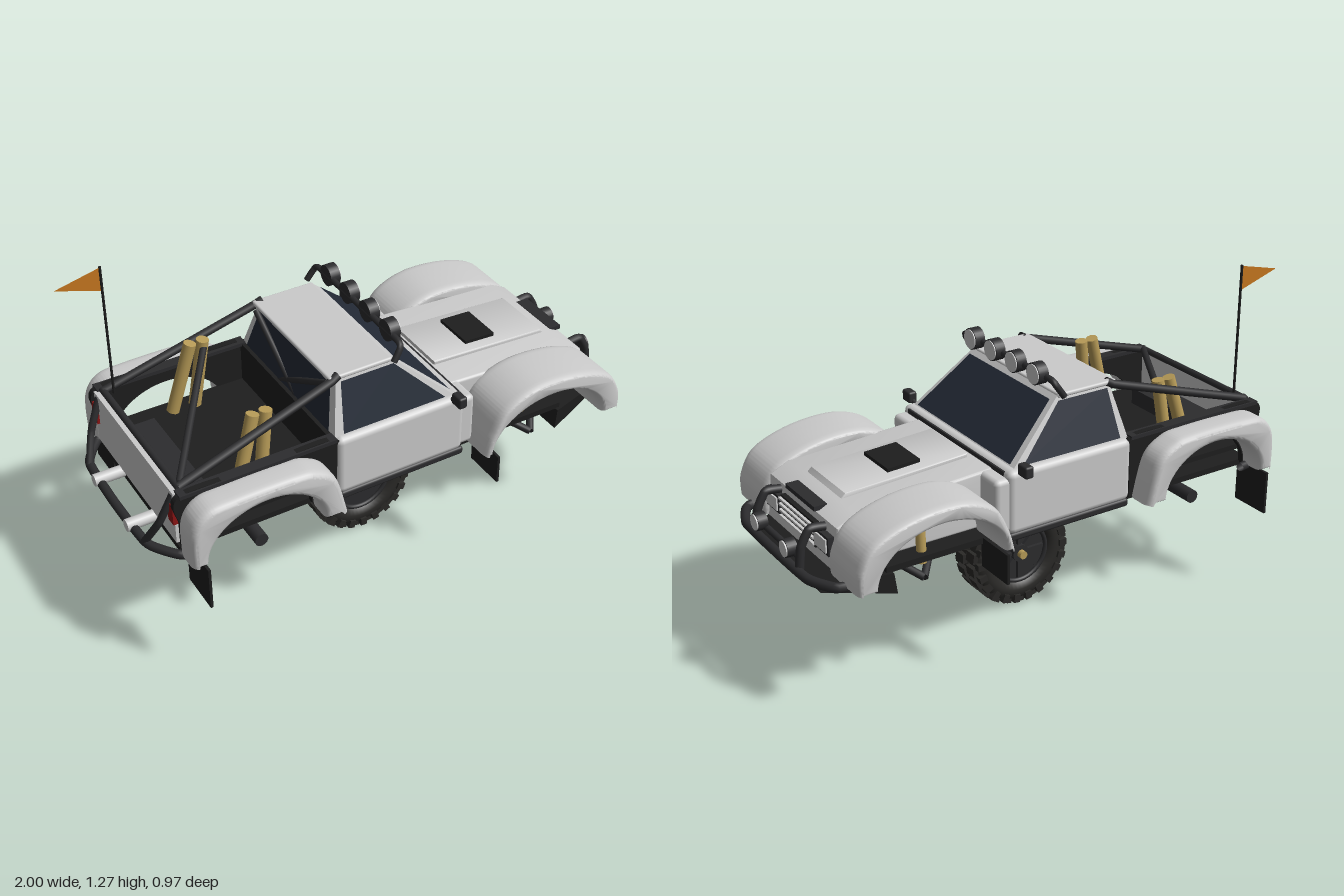
import * as THREE from 'three';
import { toCreasedNormals } from 'three/addons/utils/BufferGeometryUtils.js';
import { RoundedBoxGeometry } from 'three/addons/geometries/RoundedBoxGeometry.js';

const mat = (color, side = THREE.FrontSide) => new THREE.MeshStandardMaterial({ color, side });
const V = (x, y, z) => new THREE.Vector3(x, y, z);

export function createModel() {
  const model = new THREE.Group();
  const paint = mat(0xcccccc), dark = mat(0x2c2c2e), black = mat(0x1e1e1e), rubber = mat(0x2a2927),
    glass = mat(0x232a36, THREE.DoubleSide), gold = mat(0xb89c58), red = mat(0x8c1515),
    orange = mat(0xc87820, THREE.DoubleSide), trim = mat(0x2c2c2e, THREE.DoubleSide);

  const add = (name, geo, m, parent = model) => {
    const mesh = new THREE.Mesh(geo, m);
    mesh.name = name;
    parent.add(mesh);
    return mesh;
  };
  // box from minimum and maximum corners
  const box = (name, x0, x1, y0, y1, z0, z1, m, r = 0) => {
    const s = [x1 - x0, y1 - y0, z1 - z0];
    const geo = r ? new RoundedBoxGeometry(...s, 2, r) : new THREE.BoxGeometry(...s);
    return add(name, geo.translate((x0 + x1) / 2, (y0 + y1) / 2, (z0 + z1) / 2), m);
  };
  // straight capped rod between two points
  const rod = (name, a, b, r, m, sides = 14) => {
    const d = b.clone().sub(a);
    const mesh = add(name, new THREE.CylinderGeometry(r, r, d.length(), sides), m);
    mesh.position.copy(a).lerp(b, 0.5);
    mesh.quaternion.setFromUnitVectors(V(0, 1, 0), d.normalize());
    return mesh;
  };
  // bent tube
  const tube = (name, pts, r, m = trim) => add(name, new THREE.TubeGeometry(
    new THREE.CatmullRomCurve3(pts.map(p => V(...p)), false, 'catmullrom', 0.25), pts.length * 8, r, 10), m);
  // side profile extruded across z
  const prism = (name, shape, z0, z1, m, bevel = 0, depth = bevel) => {
    if (Array.isArray(shape)) shape = new THREE.Shape(shape.map(p => new THREE.Vector2(...p)));
    const geo = new THREE.ExtrudeGeometry(shape, {
      depth: z1 - z0 - 2 * depth, bevelEnabled: bevel > 0, bevelSize: bevel, bevelThickness: depth,
      bevelOffset: -bevel, bevelSegments: 4, curveSegments: 24 }).translate(0, 0, z0 + depth);
    return add(name, toCreasedNormals(geo, 0.6), m);
  };

  // fenders: curved outside with an elliptical wheel arch
  const fenderShape = (outer, cx, rx) => {
    const s = new THREE.Shape().moveTo(...outer[0]);
    s.splineThru(outer.slice(1).map(p => new THREE.Vector2(...p)));
    s.lineTo(cx + rx, 0.495);
    s.absellipse(cx, 0.495, rx, 0.178, 0, Math.PI, false);
    return s;
  };
  const frontFender = fenderShape([[0.285, 0.495], [0.31, 0.58], [0.37, 0.68], [0.5, 0.733], [0.68, 0.725],
    [0.83, 0.67], [0.89, 0.58], [0.895, 0.495]], 0.57, 0.25);
  const rearFender = fenderShape([[-0.89, 0.495], [-0.885, 0.64], [-0.83, 0.715], [-0.72, 0.73], [-0.5, 0.73],
    [-0.41, 0.715], [-0.335, 0.655], [-0.29, 0.495]], -0.605, 0.225);
  const bedWall = fenderShape([[-0.88, 0.495], [-0.88, 0.6], [-0.88, 0.735], [-0.58, 0.735], [-0.28, 0.735],
    [-0.28, 0.6], [-0.28, 0.495]], -0.605, 0.225);

  // hood, raised panel and scoop
  prism('hood', [[0.22, 0.495], [0.22, 0.715], [0.79, 0.685], [0.86, 0.65], [0.88, 0.495]], -0.26, 0.26, paint, 0.012);
  prism('hoodPanel', [[0.27, 0.69], [0.27, 0.728], [0.76, 0.702], [0.79, 0.67]], -0.13, 0.13, paint, 0.008);
  prism('hoodVent', [[0.44, 0.7], [0.44, 0.732], [0.57, 0.726], [0.57, 0.69]], -0.085, 0.085, black);
  box('cowl', 0.2, 0.3, 0.5, 0.71, -0.36, 0.36, paint, 0.02);
  box('cowlStrip', 0.2, 0.25, 0.7, 0.728, -0.33, 0.33, dark);

  // cab: lower doors and tapered greenhouse
  box('cabBase', -0.28, 0.25, 0.49, 0.735, -0.37, 0.37, paint, 0.025);
  const low = { y: 0.725, x: [-0.28, 0.225], z: 0.345 }, high = { y: 0.935, x: [-0.235, -0.01], z: 0.278 };
  const corner = (l, i, s) => V(l.x[i], l.y, s * l.z);
  const cab = new THREE.BoxGeometry(1, 1, 1), cp = cab.attributes.position;
  for (let i = 0; i < cp.count; i++) {
    const c = corner(cp.getY(i) > 0 ? high : low, cp.getX(i) > 0 ? 1 : 0, Math.sign(cp.getZ(i)));
    cp.setXYZ(i, c.x, c.y, c.z);
  }
  cab.computeVertexNormals();
  add('cabUpper', cab, paint);
  box('roof', -0.265, -0.01, 0.925, 0.943, -0.285, 0.285, paint, 0.008);
  // pane inset into a quad given as bottom a-b and top d-c
  const pane = (name, a, b, c, d, m, inset) => {
    const at = (u, v) => a.clone().lerp(b, u).lerp(d.clone().lerp(c, u), v);
    const n = b.clone().sub(a).cross(d.clone().sub(a)).normalize().multiplyScalar(0.005);
    const q = [at(inset, 0.06), at(1 - inset, 0.06), at(1 - inset, 0.92), at(inset, 0.92)].map(p => p.add(n));
    const geo = new THREE.BufferGeometry().setFromPoints(q);
    geo.setIndex([0, 1, 2, 0, 2, 3]);
    geo.computeVertexNormals();
    add(name, geo, m);
  };
  const [rl, fl, rr, fr] = [[0, 1], [1, 1], [0, -1], [1, -1]].map(([i, s]) => [corner(low, i, s), corner(high, i, s)]);
  pane('windshield', fl[0], fr[0], fr[1], fl[1], glass, 0.035);
  pane('rearWindow', rr[0], rl[0], rl[1], rr[1], glass, 0.05);
  pane('leftWindow', rl[0], fl[0], fl[1], rl[1], glass, 0.07);
  pane('rightWindow', fr[0], rr[0], rr[1], fr[1], glass, 0.07);

  // chassis plate, bed and skid plate
  box('chassisPlate', -0.88, 0.72, 0.472, 0.495, -0.33, 0.33, black);
  box('bedFloor', -0.87, -0.28, 0.55, 0.57, -0.34, 0.34, black);
  box('fuelCell', -0.83, -0.72, 0.57, 0.635, -0.2, 0.2, dark);
  box('bedFront', -0.295, -0.275, 0.5, 0.735, -0.35, 0.35, black);
  box('tailgate', -0.89, -0.87, 0.52, 0.735, -0.33, 0.33, paint);
  const skid = prism('skidPlate', [[0.69, 0.396], [0.94, 0.44], [0.95, 0.465], [0.7, 0.475]], -0.35, 0.35, black);
  const sp = skid.geometry.attributes.position;
  for (let i = 0; i < sp.count; i++) sp.setZ(i, sp.getZ(i) * (1 - 0.9 * (sp.getX(i) - 0.69)));

  // everything that is mirrored left and right
  for (const s of [-1, 1]) {
    const span = (a, b) => s > 0 ? [a, b] : [-b, -a];
    prism('frontFender', frontFender, ...span(0.245, 0.47), paint, 0.014, 0.035);
    prism('rearFender', rearFender, ...span(0.345, 0.467), paint, 0.02, 0.035);
    prism('bedWall', bedWall, ...span(0.335, 0.358), black);
    box('bedRail', -0.88, -0.28, 0.728, 0.742, ...span(0.32, 0.365), dark);
    box('sill', -0.27, 0.25, 0.468, 0.5, ...span(0.3, 0.372), dark, 0.01);
    box('rearMudFlap', -0.85, -0.84, 0.325, 0.495, ...span(0.32, 0.485), black);
    box('frontMudFlap', 0.325, 0.335, 0.38, 0.495, ...span(0.32, 0.485), black);
    box('tailLight', -0.9, -0.875, 0.61, 0.69, ...span(0.3, 0.34), red);
    box('mirror', 0.185, 0.22, 0.725, 0.77, ...span(0.37, 0.425), dark, 0.008);
    rod('mirrorArm', V(0.2, 0.715, s * 0.33), V(0.2, 0.74, s * 0.39), 0.009, dark);
    // bed cage and dampers
    tube('cageBar', [[-0.86, 0.74, s * 0.31], [-0.27, 0.92, s * 0.28], [-0.225, 0.94, s * 0.275]], 0.016);
    rod('cageBrace', V(-0.28, 0.6, s * 0.3), V(-0.26, 0.91, -s * 0.26), 0.012, dark);
    for (const [x0, x1] of [[-0.62, -0.54], [-0.53, -0.49]]) {
      rod('rearDamper', V(x0, 0.59, s * 0.26), V(x1, 0.875, s * 0.242), 0.024, gold);
    }
    // front suspension
    rod('frontDamper', V(0.56, 0.45, s * 0.29), V(0.56, 0.655, s * 0.28), 0.018, gold);
    rod('controlArmFront', V(0.66, 0.47, s * 0.22), V(0.58, 0.42, s * 0.34), 0.014, dark);
    rod('controlArmRear', V(0.48, 0.47, s * 0.22), V(0.58, 0.42, s * 0.34), 0.014, dark);
    // headlights, bull bar uprights and spot lamps
    box('headlightFrame', 0.86, 0.888, 0.545, 0.615, ...span(0.135, 0.24), dark);
    box('headlight', 0.87, 0.894, 0.555, 0.605, ...span(0.145, 0.23), paint);
    tube('bullBarUpright', [[0.86, 0.625, s * 0.17], [0.92, 0.63, s * 0.17], [0.955, 0.57, s * 0.17], [0.965, 0.49, s * 0.17]], 0.016);
    rod('spotLampHousing', V(0.955, 0.552, s * 0.115), V(0.992, 0.552, s * 0.115), 0.033, dark, 20);
    rod('spotLampLens', V(0.99, 0.552, s * 0.115), V(0.997, 0.552, s * 0.115), 0.029, paint, 20);
    // rear bumper stays and exhausts
    tube('rearBumperStay', [[-0.97, 0.495, s * 0.24], [-0.93, 0.6, s * 0.29], [-0.88, 0.72, s * 0.31]], 0.014);
    rod('exhaust', V(-0.86, 0.5, s * 0.14), V(-0.995, 0.5, s * 0.14), 0.023, paint);
  }
  rod('cageDiagonal', V(-0.85, 0.745, 0.3), V(-0.48, 0.85, -0.25), 0.013, dark);
  rod('cageCrossBar', V(-0.86, 0.74, -0.32), V(-0.86, 0.74, 0.32), 0.013, dark);

  // bumpers and grille
  tube('frontBumper', [[0.85, 0.495, -0.37], [0.92, 0.49, -0.35], [0.97, 0.487, -0.24], [0.975, 0.487, 0],
    [0.97, 0.487, 0.24], [0.92, 0.49, 0.35], [0.85, 0.495, 0.37]], 0.018);
  rod('bullBarCross', V(0.957, 0.53, -0.17), V(0.957, 0.53, 0.17), 0.012, dark);
  tube('rearBumper', [[-0.8, 0.49, -0.38], [-0.89, 0.49, -0.36], [-0.965, 0.49, -0.25], [-0.975, 0.49, 0],
    [-0.965, 0.49, 0.25], [-0.89, 0.49, 0.36], [-0.8, 0.49, 0.38]], 0.017);
  box('grille', 0.85, 0.882, 0.53, 0.625, -0.13, 0.13, black);
  for (let i = 0; i < 4; i++) box('grilleSlat', 0.86, 0.892, 0.54 + i * 0.023, 0.548 + i * 0.023, -0.13, 0.13, paint);
  box('noseVent', 0.82, 0.87, 0.655, 0.672, -0.11, 0.11, dark);

  // roof light bar
  tube('lightBar', [[-0.02, 0.94, -0.308], [0.01, 0.985, -0.3], [0.015, 1, -0.27], [0.015, 1, 0],
    [0.015, 1, 0.27], [0.01, 0.985, 0.3], [-0.02, 0.94, 0.308]], 0.012);
  for (const z of [-0.207, -0.069, 0.069, 0.207]) {
    rod('roofLamp', V(0.005, 1.005, z), V(0.045, 1.005, z), 0.041, dark, 24);
    rod('roofLampLens', V(0.044, 1.005, z), V(0.049, 1.005, z), 0.037, paint, 24);
  }

  // antenna with pennant
  rod('antenna', V(-0.83, 0.735, -0.285), V(-0.83, 1.268, -0.285), 0.005, black, 8);
  const flag = new THREE.Shape([[-0.83, 1.17], [-0.83, 1.265], [-1, 1.225]].map(p => new THREE.Vector2(...p)));
  add('flag', new THREE.ShapeGeometry(flag).translate(0, 0, -0.285), orange);

  // rear axle
  rod('rearAxle', V(-0.585, 0.415, -0.36), V(-0.585, 0.415, 0.36), 0.026, dark);
  box('differential', -0.643, -0.527, 0.358, 0.472, -0.06, 0.06, dark, 0.02);

  // wheel: tyre with tread, rim and hub
  const wheel = new THREE.Group();
  wheel.name = 'wheel';
  wheel.position.y = 0.213;
  model.add(wheel);
  const half = [[0.118, 0.05], [0.126, 0.066], [0.15, 0.077], [0.178, 0.075], [0.194, 0.06], [0.197, 0.012], [0.187, 0.006]];
  const profile = [...half.map(([r, z]) => new THREE.Vector2(r, -z)),
    ...half.slice().reverse().map(([r, z]) => new THREE.Vector2(r, z))];
  add('tyre', toCreasedNormals(new THREE.LatheGeometry(profile, 48).rotateX(Math.PI / 2), 0.7),
    mat(0x2a2927, THREE.DoubleSide), wheel);
  const lugs = 22;
  for (let i = 0; i < lugs; i++) for (const s of [-1, 1]) {
    const a = (i + (s > 0 ? 0.5 : 0)) / lugs * Math.PI * 2;
    add('treadBlock', new THREE.BoxGeometry(0.038, 0.022, 0.052).translate(0, 0.2, s * 0.036).rotateZ(a), rubber, wheel);
    add('shoulderLug', new THREE.BoxGeometry(0.026, 0.032, 0.024).translate(0, 0.185, s * 0.072).rotateZ(a + 0.14), rubber, wheel);
  }
  const disc = (name, r, z0, z1, m) => add(name, new THREE.CylinderGeometry(r, r, z1 - z0, 36)
    .rotateX(Math.PI / 2).translate(0, 0, (z0 + z1) / 2), m, wheel);
  disc('rim', 0.122, -0.045, 0.055, dark);
  for (const z of [-0.06, 0.06]) add('rimLip', new THREE.TorusGeometry(0.116, 0.009, 8, 40).translate(0, 0, z), dark, wheel);
  for (let i = 0; i < 8; i++) add('spoke', new THREE.BoxGeometry(0.014, 0.09, 0.016)
    .translate(0, 0.068, -0.05).rotateZ(i * Math.PI / 4), dark, wheel);
  disc('hub', 0.034, -0.068, -0.04, dark);
  disc('wheelNut', 0.016, -0.088, -0.06, gold);
  return model;
}
